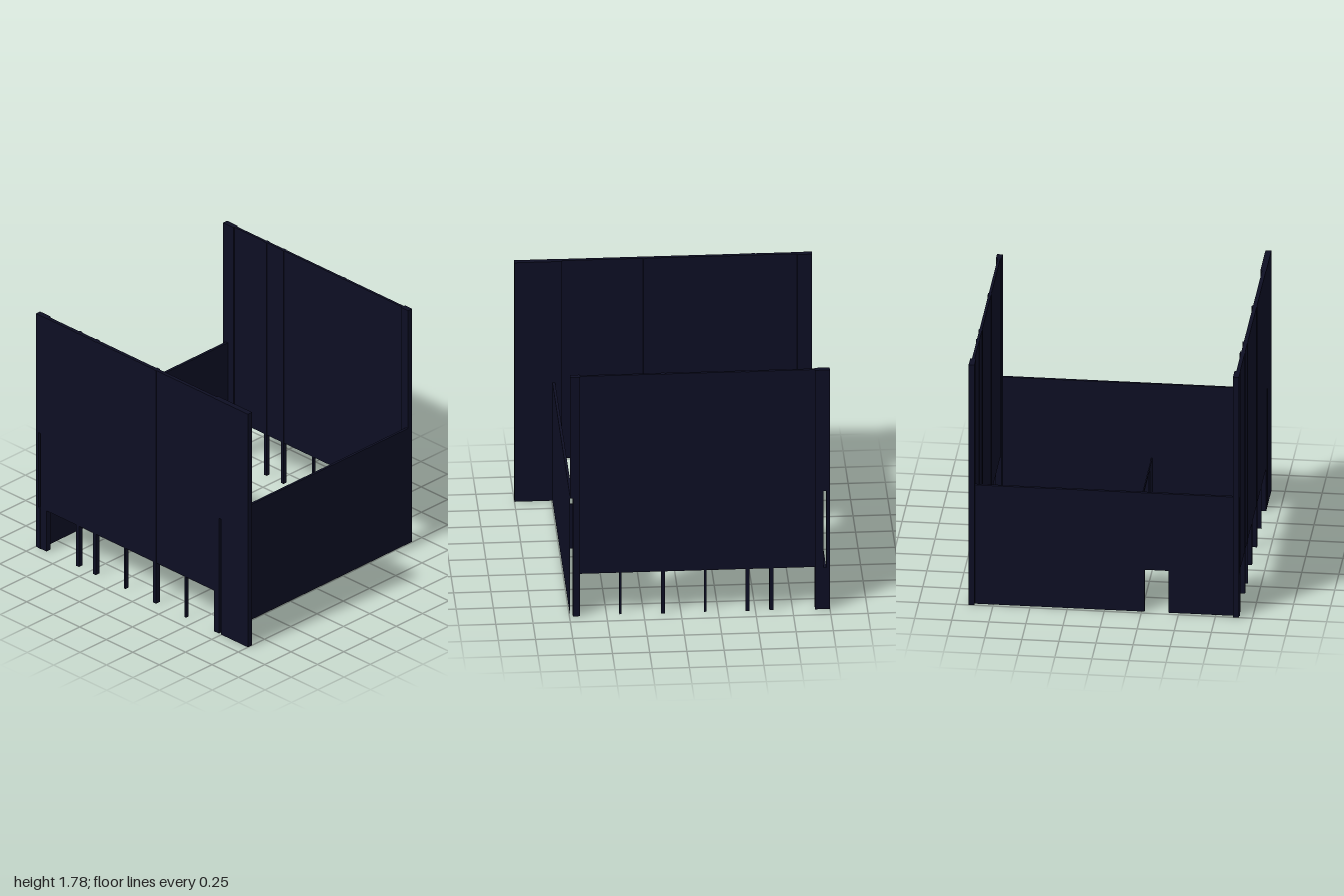
import * as THREE from 'three';

const TOP = 1.78, RAIL = 0.31, HALF = 0.88;

export function createModel() {
  const model = new THREE.Group();
  const navy = new THREE.MeshStandardMaterial({ color: 0x0d0e23 });
  navy.name = 'dark navy';

  // Box given by its limits; openEnds drops the two z caps
  function slab(parent, name, [x0, x1], [y0, y1], [z0, z1], openEnds = false) {
    const geo = new THREE.BoxGeometry(x1 - x0, y1 - y0, z1 - z0);
    if (openEnds) {
      geo.setIndex(Array.from(geo.index.array).slice(0, 24));
      geo.clearGroups();
    }
    const mesh = new THREE.Mesh(geo, navy);
    mesh.position.set((x0 + x1) / 2, (y0 + y1) / 2, (z0 + z1) / 2);
    mesh.name = name;
    parent.add(mesh);
  }

  function group(name) {
    const g = new THREE.Group();
    g.name = name;
    model.add(g);
    return g;
  }

  // Tall panel: raised board, slotted corner piers, posts and thin legs
  function tallPanel(name, right, sheet, pier, post) {
    const g = group(name);
    slab(g, 'board', [-0.9, 0.68], [RAIL, TOP], sheet);
    // corner piers, slotted up to half height for the side panels
    slab(g, 'leftCornerTop', [-1, -0.9], [HALF, TOP], pier);
    slab(g, 'leftCornerOuter', [-1, -0.975], [0, HALF], pier);
    slab(g, 'leftCornerInner', [-0.955, -0.9], [0, HALF], pier);
    slab(g, 'rightCornerTop', [0.68, right], [HALF, TOP], pier);
    slab(g, 'rightCornerInner', [0.68, 0.727], [0, HALF], pier);
    if (right > 0.75) slab(g, 'rightCornerOuter', [0.745, right], [0, HALF], pier);
    // full-height posts
    for (const x of [-0.607, -0.447, 0.121]) {
      slab(g, 'post', [x - 0.013, x + 0.013], [0, TOP], post);
    }
    // slender legs below the board
    for (const x of [-0.163, 0.407]) {
      slab(g, 'thinLeg', [x - 0.007, x + 0.007], [0, RAIL + 0.01], sheet);
    }
  }
  tallPanel('frontPanel', 1, [0.88, 0.906], [0.868, 0.908], [0.872, 0.909]);
  tallPanel('backPanel', 0.745, [-0.902, -0.884], [-0.914, -0.875], [-0.907, -0.88]);

  // Low side panels, the one at -x with a small doorway
  const rightX = [0.727, 0.745], leftX = [-0.975, -0.955];
  slab(group('lowSidePanel'), 'sideBoard', rightX, [0, HALF], [-0.914, 0.88], true);
  const door = group('doorwaySidePanel');
  slab(door, 'upperBoard', leftX, [RAIL, HALF], [-0.914, 0.88], true);
  slab(door, 'longLowerBoard', leftX, [0, RAIL], [-0.914, 0.27]);
  slab(door, 'shortLowerBoard', leftX, [0, RAIL], [0.43, 0.912]);

  // Thin inner support: two wide legs joined by a rail
  const support = group('innerSupport'), z = [0.127, 0.135];
  slab(support, 'supportLeg', [-0.955, -0.797], [0, RAIL], z);
  slab(support, 'supportLeg', [0.577, 0.727], [0, RAIL], z);
  slab(support, 'supportRail', [-0.955, 0.727], [RAIL, 0.33], z);

  return model;
}
